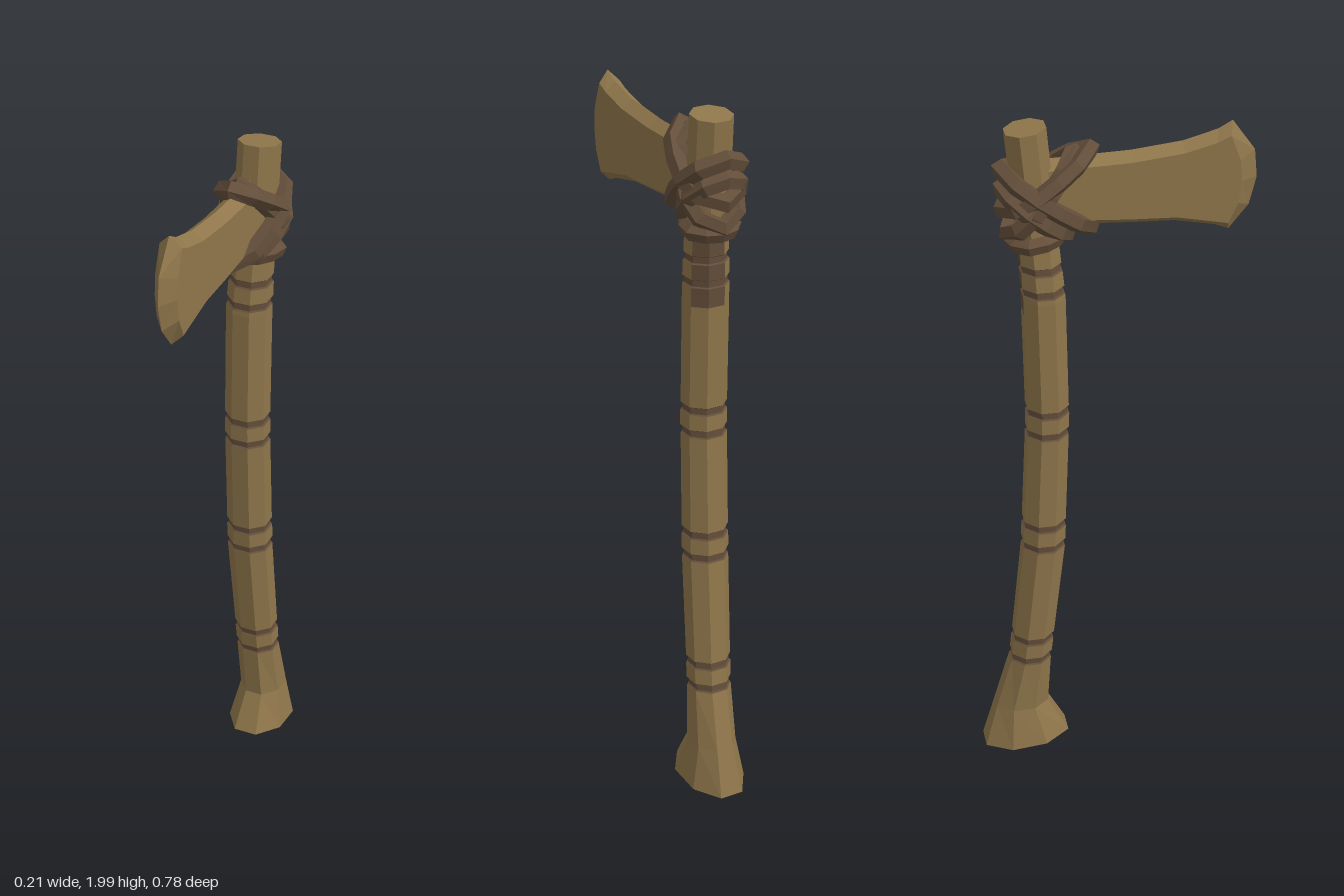
import * as THREE from 'three';

const wood = new THREE.MeshStandardMaterial({ color: 0x8f764b });
wood.name = 'wood';
const leather = new THREE.MeshStandardMaterial({ color: 0x634e3a });
leather.name = 'dark leather';

// Faceted mesh from a list of triangle corners
function facetMesh(name, corners, material) {
  const g = new THREE.BufferGeometry().setFromPoints(corners);
  g.computeVertexNormals();
  const mesh = new THREE.Mesh(g, material);
  mesh.name = name;
  return mesh;
}

// Handle stations: y, centre z, half depth, centre x, half width, end slant
const STATIONS = [
  [0.018, -0.265, 0.125, 0.015, 0.085, 0.1],
  [0.14, -0.276, 0.077, 0.016, 0.062, 0.03],
  [0.31, -0.247, 0.058, 0.008, 0.058, 0],
  [0.7, -0.205, 0.060, -0.002, 0.061, 0],
  [1.12, -0.187, 0.058, -0.005, 0.06, 0],
  [1.5, -0.193, 0.058, -0.005, 0.06, 0],
  [1.65, -0.203, 0.054, 0, 0.056, 0],
  [1.992, -0.233, 0.054, 0.005, 0.055, 0.13],
];
const BANDS = [0.35, 0.745, 1.118, 1.56];
const SIDES = 8;

function stationAt(y) {
  let k = 0;
  while (k < STATIONS.length - 2 && y > STATIONS[k + 1][0]) k++;
  const a = STATIONS[k], b = STATIONS[k + 1];
  const t = (y - a[0]) / (b[0] - a[0]);
  return a.map((v, i) => v + (b[i] - v) * t);
}

function octagon(y, scale) {
  const [, cz, hz, cx, hx, slant] = stationAt(y);
  const grow = scale / Math.cos(Math.PI / SIDES);
  return Array.from({ length: SIDES }, (_, i) => {
    const a = ((i + 0.5) / SIDES) * Math.PI * 2;
    const dz = Math.sin(a) * hz * grow;
    return new THREE.Vector3(cx + Math.cos(a) * hx * grow, y + slant * dz, cz + dz);
  });
}

function buildHandle() {
  // Rows: y, scale, and whether the stretch above is a dark groove
  const rows = STATIONS.map((s) => [s[0], 1, false])
    .filter(([y]) => BANDS.every((c) => Math.abs(y - c) > 0.06));
  rows.push([1.46, 1, false]);
  for (const c of BANDS) {
    rows.push([c - 0.046, 1, true], [c - 0.043, 0.92, true], [c - 0.025, 0.92, true],
      [c - 0.022, 1.01, false], [c + 0.022, 1.01, true], [c + 0.025, 0.92, true],
      [c + 0.043, 0.92, true], [c + 0.046, 1, false]);
  }
  rows.sort((a, b) => a[0] - b[0]);
  const rings = rows.map(([y, s]) => octagon(y, s));
  const plain = [], dark = [];
  for (let r = 0; r < rings.length - 1; r++) {
    for (let i = 0; i < SIDES; i++) {
      const j = (i + 1) % SIDES, lo = rings[r], up = rings[r + 1];
      // Strap tail lies on two rear faces below the lashing
      const tail = (i === 5 || i === 6) && rows[r][0] >= 1.46 && rows[r][0] < 1.64;
      (rows[r][2] || tail ? dark : plain).push(lo[i], up[i], up[j], lo[i], up[j], lo[j]);
    }
  }
  // End caps
  const bottom = rings[0], top = rings[rings.length - 1];
  for (let i = 1; i < SIDES - 1; i++) {
    plain.push(top[0], top[i + 1], top[i], bottom[0], bottom[i], bottom[i + 1]);
  }
  const handle = new THREE.Group();
  handle.name = 'handle';
  handle.add(facetMesh('handleShaft', plain, wood), facetMesh('handleGrooves', dark, leather));
  return handle;
}

// Blade: sharp mid-plane outline joined to an inset flat on each cheek, as [z, y]
function buildBlade() {
  const outline = [[-0.2, 1.71], [0.05, 1.695], [0.17, 1.69], [0.28, 1.668], [0.32, 1.652], [0.375, 1.72],
    [0.395, 1.8], [0.388, 1.88], [0.325, 1.97], [0.285, 1.948], [0.19, 1.922], [0.05, 1.907], [-0.2, 1.9]];
  const inset = [[-0.2, 1.735], [0.05, 1.718], [0.17, 1.713], [0.28, 1.69], [0.312, 1.683], [0.338, 1.74],
    [0.347, 1.805], [0.342, 1.865], [0.315, 1.938], [0.28, 1.922], [0.19, 1.898], [0.05, 1.883], [-0.2, 1.876]];
  const tris = THREE.ShapeUtils.triangulateShape(inset.map((p) => new THREE.Vector2(...p)), []);
  const corners = [];
  for (const side of [1, -1]) {
    const edge = outline.map(([z, y]) => new THREE.Vector3(0.003, y, z));
    const cheek = inset.map(([z, y]) => new THREE.Vector3(0.003 + side * 0.032, y, z));
    const add = (a, b, c) => (side > 0 ? corners.push(a, c, b) : corners.push(a, b, c));
    for (const [a, b, c] of tris) add(cheek[a], cheek[b], cheek[c]);
    for (let i = 0; i < edge.length; i++) {
      const j = (i + 1) % edge.length;
      add(edge[i], edge[j], cheek[j]);
      add(edge[i], cheek[j], cheek[i]);
    }
  }
  return facetMesh('blade', corners, wood);
}

// Tilted leather loop around the handle and blade neck
function strap(name, zFront, yFront, zBack, yBack, width, radius) {
  const plan = [[0, 0], [0.6, 0.2], [1, 0.6], [0.72, 0.88], [0, 1], [-0.72, 0.88], [-1, 0.6], [-0.6, 0.2]];
  const points = plan.map(([x, t]) => new THREE.Vector3(
    x * width, yFront + (yBack - yFront) * t, zFront + (zBack - zFront) * t));
  const curve = new THREE.CatmullRomCurve3(points, true, 'catmullrom', 0.3);
  const g = new THREE.TubeGeometry(curve, 10, radius, 5, true).toNonIndexed();
  g.computeVertexNormals();
  const mesh = new THREE.Mesh(g, leather);
  mesh.name = name;
  return mesh;
}

export function createModel() {
  const model = new THREE.Group();
  model.name = 'axe';
  const lashing = new THREE.Group();
  lashing.name = 'lashing';
  lashing.add(
    strap('strapDownOuter', -0.06, 1.922, -0.296, 1.765, 0.078, 0.027),
    strap('strapDownInner', -0.105, 1.915, -0.285, 1.695, 0.074, 0.027),
    strap('strapUpOuter', -0.06, 1.695, -0.3, 1.885, 0.08, 0.027),
    strap('strapUpInner', -0.125, 1.68, -0.298, 1.83, 0.076, 0.027),
    strap('neckStrap', -0.14, 1.685, -0.275, 1.675, 0.066, 0.024),
  );
  model.add(buildHandle(), buildBlade(), lashing);
  return model;
}
